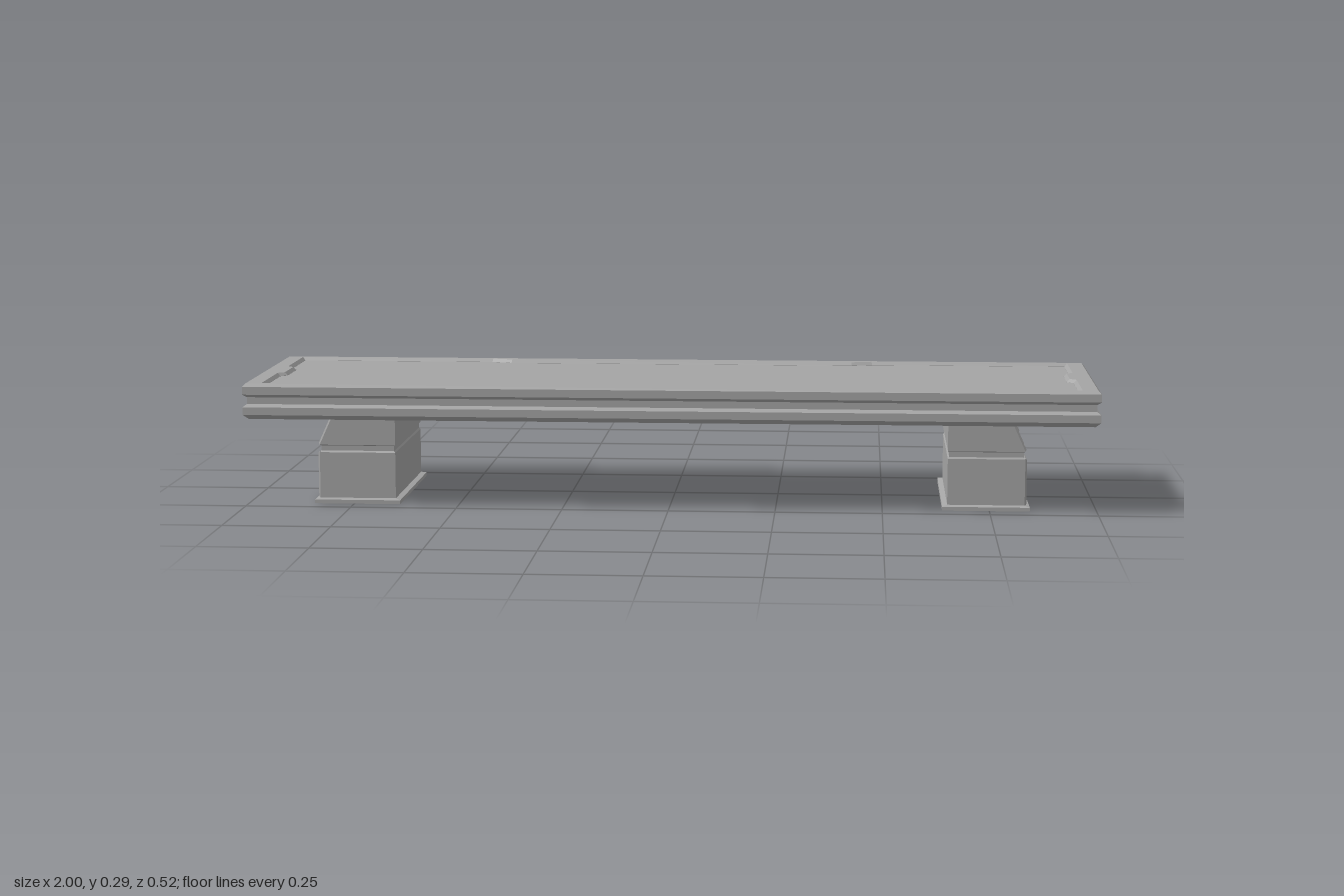
import * as THREE from 'three';

const material = new THREE.MeshStandardMaterial({ color: 0xa5a5a5, flatShading: true });

function mesh(name, geometry) {
  const m = new THREE.Mesh(geometry, material);
  m.name = name;
  return m;
}

// Moves every edge of a counter-clockwise outline outward by d, with mitred corners.
function offset(points, d) {
  const n = points.length;
  return points.map(([x, s], i) => {
    const [px, ps] = points[(i + n - 1) % n], [qx, qs] = points[(i + 1) % n];
    const a = new THREE.Vector2(s - ps, px - x).normalize();
    const b = new THREE.Vector2(qs - s, x - qx).normalize();
    const k = d / (1 + a.dot(b));
    return [x + (a.x + b.x) * k, s + (a.y + b.y) * k];
  });
}

// Stacks outlines (x, -z) at given heights into a closed solid.
function loft(rings) {
  const pos = [];
  const put = (r, i) => {
    const p = r.points[i % r.points.length];
    pos.push(p[0], r.y, -p[1]);
  };
  for (let k = 0; k < rings.length - 1; k++) {
    const lo = rings[k], hi = rings[k + 1];
    for (let i = 0; i < lo.points.length; i++) {
      put(lo, i); put(lo, i + 1); put(hi, i + 1);
      put(lo, i); put(hi, i + 1); put(hi, i);
    }
  }
  const first = rings[0], last = rings[rings.length - 1];
  const contour = first.points.map(p => new THREE.Vector2(...p));
  for (const [a, b, c] of THREE.ShapeUtils.triangulateShape(contour, [])) {
    put(first, a); put(first, c); put(first, b);
    put(last, a); put(last, b); put(last, c);
  }
  const g = new THREE.BufferGeometry();
  g.setAttribute('position', new THREE.Float32BufferAttribute(pos, 3));
  g.computeVertexNormals();
  return g;
}

const rect = (x, s) => [[-x, -s], [x, -s], [x, s], [-x, s]];
const toShape = pts => new THREE.Shape(pts.map(p => new THREE.Vector2(...p)));

// Frame with chamfered inner and outer edges, its widest outline at depth 0.
function chamferedFrame(outer, hole, thickness, size) {
  const shape = toShape(outer);
  shape.holes.push(toShape(hole));
  return new THREE.ExtrudeGeometry(shape, { depth: 0.0005, bevelThickness: thickness,
    bevelSize: size, bevelOffset: -size, bevelSegments: 1 });
}

function createTop() {
  const top = new THREE.Group();
  top.name = 'tableTop';
  // Slab with a chamfered lower band, a groove and an upper band: [height, inset]
  const profile = [[0.208, 0.012], [0.219, 0], [0.237, 0], [0.244, 0.009],
    [0.26, 0.009], [0.267, 0], [0.285, 0]];
  top.add(mesh('slab', loft(profile.map(([y, d]) => ({ y, points: offset(rect(1, 0.262), -d) })))));

  // Raised rim; its inner edge steps in along the long sides and at the ends
  const quarter = [[0.935, 0.052], [0.95, 0.066], [0.95, 0.238], [0.475, 0.238], [0.425, 0.222]];
  const right = [...quarter.slice().reverse().map(([x, s]) => [x, -s]), ...quarter];
  const inner = [...right, ...right.map(([x, s]) => [-x, -s])];
  const rim = chamferedFrame(rect(1, 0.262), inner, 0.0075, 0.007);
  top.add(mesh('rim', rim.rotateX(-Math.PI / 2).translate(0, 0.285, 0)));
  return top;
}

// Frame around a recessed panel on the outer face, facing +x; side picks the block.
function panelFrame(side, height) {
  const box = (a, b, y0, y1) => {
    const [l, r] = side > 0 ? [a, b] : [-b, -a];
    return [[l, y0], [r, y0], [r, y1], [l, y1]];
  };
  const g = chamferedFrame(box(0.107, 0.191, 0, height),
    box(0.115, 0.178, 0.009, height - 0.005), 0.004, 0.003);
  return g.rotateY(Math.PI / 2);
}

function createLeg(name) {
  const leg = new THREE.Group();
  leg.name = name;
  // Footprint: two blocks and a tapered central rib, open to the outer end
  const half = [[0.797, 0.014], [0.765, 0.029], [0.765, 0.096], [0.832, 0.107],
    [0.832, 0.191], [0.652, 0.191]];
  const outline = [...half.slice().reverse().map(([x, s]) => [x, -s]), ...half];
  const slope = points => points.map(([x, s]) => [x > 0.82 ? x - 0.033 : x, s]);
  // Foot plate, lower block, groove, sloped upper block: [height, offset]
  const levels = [[0, 0.012], [0.009, 0.012], [0.012, 0], [0.121, 0],
    [0.125, -0.003], [0.137, -0.003], [0.139, 0]];
  const rings = levels.map(([y, d]) => ({ y, points: offset(outline, d) }));
  rings.push({ y: 0.212, points: slope(outline) });
  leg.add(mesh('legBody', loft(rings)));

  const tilt = Math.atan2(0.033, 0.073);
  for (const side of [-1, 1]) {
    const lower = mesh('lowerPanelFrame', panelFrame(side, 0.112));
    lower.position.set(0.832, 0.011, 0);
    const upper = mesh('upperPanelFrame', panelFrame(side, 0.08));
    upper.position.set(0.832, 0.139, 0);
    upper.rotation.z = tilt;
    leg.add(lower, upper);
  }
  return leg;
}

export function createModel() {
  const model = new THREE.Group();
  model.name = 'lowTable';
  const left = createLeg('leftLeg');
  const right = createLeg('rightLeg');
  right.rotation.y = Math.PI;
  model.add(createTop(), left, right);
  return model;
}
